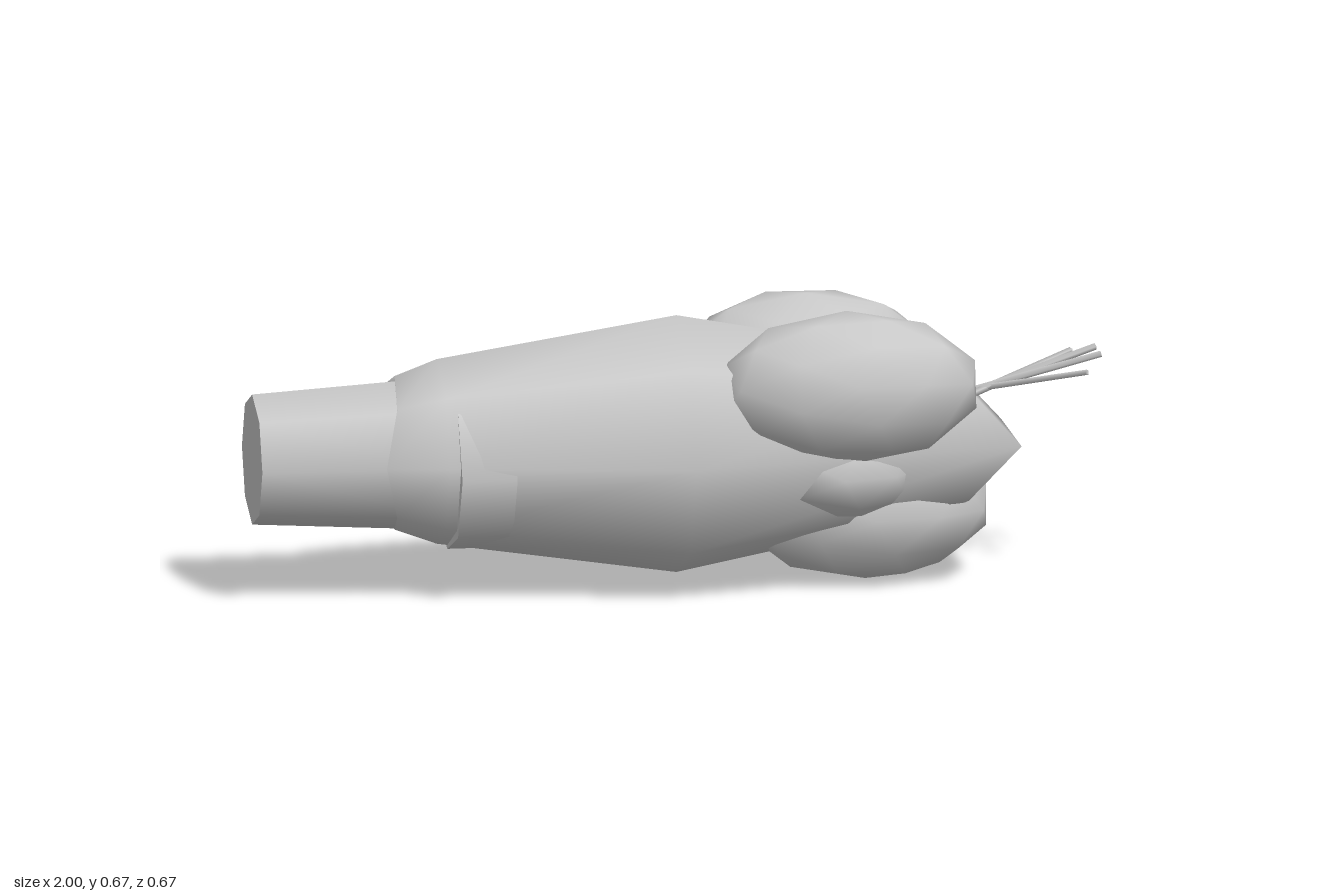
import * as THREE from 'three';

const grey = new THREE.MeshStandardMaterial({ color: 0xc8c8c8 });
grey.name = 'plain grey';
const SIDES = 8, AXIS_Y = 0.335;

// Eight-sided rings along the body, rear to nose: x, height radius, depth radius,
// and how far the points above and below the middle are set forward (or back)
const RINGS = [
  [-0.70, 0.150, 0.150, 0.25],
  [-0.71, 0.183, 0.180, 0.25],
  [-0.565, 0.220, 0.206, 0],
  [0, 0.306, 0.309, 0],
  [0.79, 0.187, 0.155, -0.9],
];

// Smooth eight-sided body whose last ring is folded into a horizontal wedge
function bodyGeometry() {
  const pos = [], index = [];
  for (const [x, ry, rz, lean] of RINGS) {
    for (let k = 0; k < SIDES; k++) {
      const a = (k / SIDES) * Math.PI * 2;
      const y = ry * Math.sin(a);
      // diagonal points of the nose sit a little further out in z
      const z = rz * Math.cos(a) * (lean < 0 && k % 2 ? 1.12 : 1);
      pos.push(x + lean * Math.abs(y), AXIS_Y + y, z);
    }
  }
  for (let i = 0; i < RINGS.length - 1; i++) {
    for (let k = 0; k < SIDES; k++) {
      const n = (k + 1) % SIDES;
      const a = i * SIDES + k, b = a + SIDES, c = (i + 1) * SIDES + n, d = i * SIDES + n;
      index.push(a, b, c, a, c, d);
    }
  }
  // two sloping faces of the wedge, meeting along its middle edge
  const tip = (RINGS.length - 1) * SIDES;
  for (const start of [0, 4]) {
    for (let k = 1; k < 4; k++) {
      index.push(tip + start, tip + (start + k + 1) % SIDES, tip + start + k);
    }
  }
  const g = new THREE.BufferGeometry();
  g.setAttribute('position', new THREE.Float32BufferAttribute(pos, 3));
  g.setIndex(index);
  g.computeVertexNormals();
  return g;
}

export function createModel() {
  const model = new THREE.Group();
  const add = (name, geometry) => {
    const mesh = new THREE.Mesh(geometry, grey);
    mesh.name = name;
    model.add(mesh);
    return mesh;
  };

  add('body', bodyGeometry());

  // Narrow rear stem
  const stem = new THREE.CylinderGeometry(0.182, 0.155, 0.45, SIDES);
  stem.rotateZ(-Math.PI / 2);
  add('stem', stem).position.set(-0.775, 0.33, 0);

  // Low collar that shows at the sides and below
  const collar = new THREE.CylinderGeometry(1, 1, 0.13, SIDES);
  collar.rotateZ(-Math.PI / 2);
  collar.scale(1, 0.208, 0.232);
  add('collar', collar).position.set(-0.475, 0.31, 0);

  // Rounded lobes: name, centre, half sizes, turn about the long axis
  const lobes = [
    ['frontLobe', [0.38, 0.49, 0.168], [0.315, 0.181, 0.17], -0.2],
    ['backLobe', [0.33, 0.474, -0.178], [0.31, 0.182, 0.161], 0.2],
    ['lowerLobe', [0.445, 0.17, 0], [0.3, 0.17, 0.178], 0],
    ['innerSwelling', [0.36, 0.285, 0], [0.24, 0.15, 0.257], 0],
  ];
  for (const [name, centre, size, turn] of lobes) {
    const g = new THREE.IcosahedronGeometry(1, 1);
    // ten-sided outline from the front, with points at top and bottom
    g.rotateX(0.5536);
    g.rotateZ(Math.PI / 2);
    g.rotateX(turn);
    g.scale(...size);
    add(name, g).position.set(...centre);
  }

  // Four thin feelers crossing just above the nose
  const feelers = [[0.95, 0.50, 0.124, -0.032], [0.995, 0.525, 0.042, -0.012]];
  for (const side of [1, -1]) {
    for (const [x, y, z, baseZ] of feelers) {
      const start = new THREE.Vector3(0.68, 0.432, side * baseZ);
      const end = new THREE.Vector3(x, y, side * z);
      const dir = end.clone().sub(start);
      const feeler = add('feeler', new THREE.CylinderGeometry(0.008, 0.009, dir.length(), 4));
      feeler.position.copy(start).add(end).multiplyScalar(0.5);
      feeler.quaternion.setFromUnitVectors(new THREE.Vector3(0, 1, 0), dir.normalize());
    }
  }
  return model;
}
